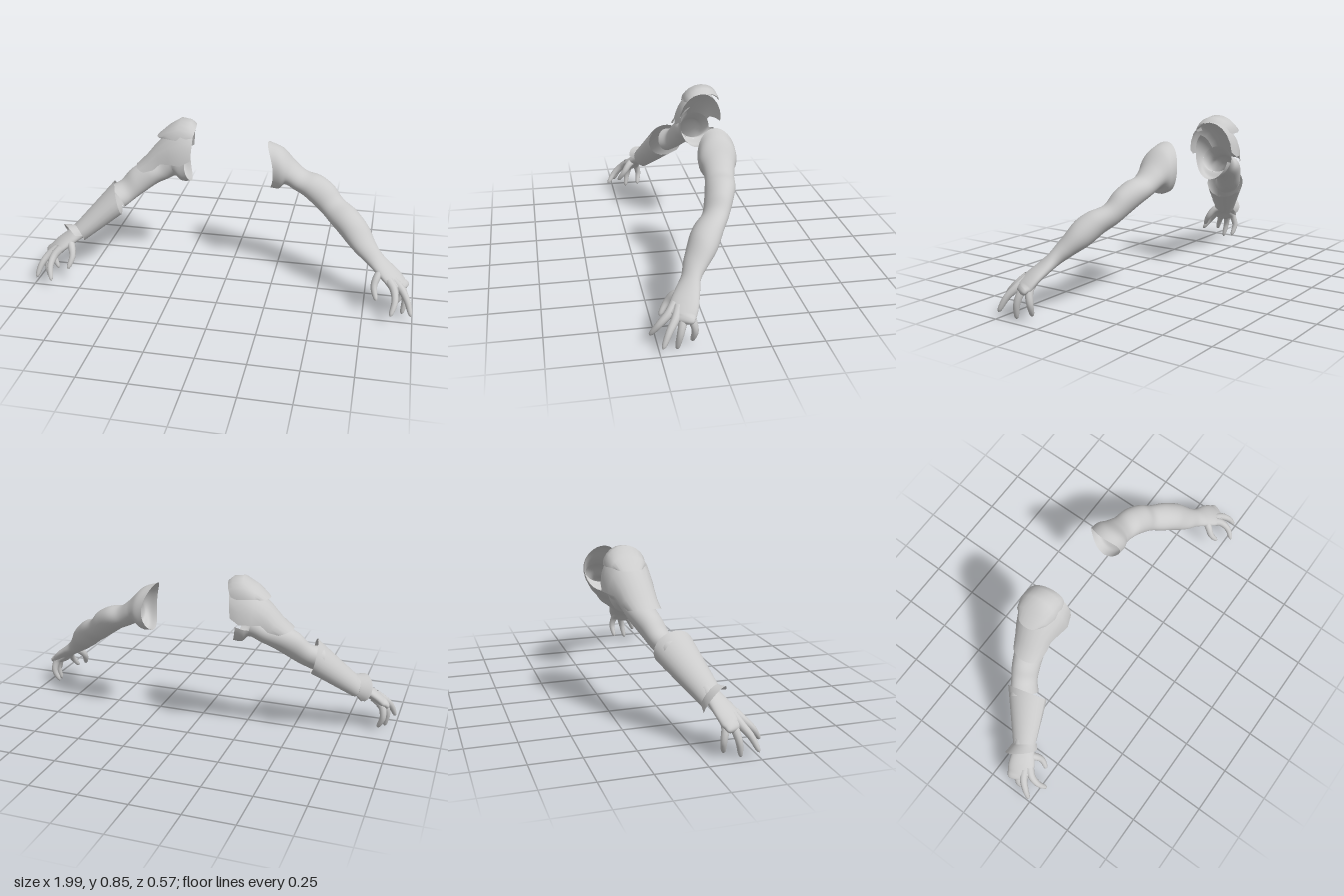
import * as THREE from 'three';

const V = (x, y, z) => new THREE.Vector3(x, y, z);
const material = new THREE.MeshStandardMaterial({ color: 0xcccccc, side: THREE.DoubleSide });

// Arm cross-sections: top x, top y, bottom x, bottom y, centre z, half width
const rings = [
  [0.195, 0.76, 0.215, 0.51, -0.153, 0.095],
  [0.27, 0.73, 0.26, 0.51, -0.15, 0.094],
  [0.34, 0.66, 0.295, 0.54, -0.147, 0.08],
  [0.4, 0.615, 0.345, 0.517, -0.14, 0.071],
  [0.47, 0.6, 0.41, 0.485, -0.128, 0.073],
  [0.54, 0.56, 0.475, 0.44, -0.105, 0.068],
  [0.59, 0.502, 0.535, 0.397, -0.078, 0.064],
  [0.66, 0.47, 0.585, 0.36, -0.035, 0.07],
  [0.72, 0.42, 0.64, 0.315, 0.005, 0.07],
  [0.77, 0.345, 0.7, 0.272, 0.048, 0.058],
  [0.81, 0.295, 0.755, 0.237, 0.076, 0.047],
  [0.85, 0.255, 0.81, 0.205, 0.1, 0.057],
  [0.9, 0.215, 0.865, 0.168, 0.125, 0.067],
  [0.94, 0.177, 0.905, 0.13, 0.142, 0.064],
  [0.956, 0.152, 0.93, 0.122, 0.147, 0.05],
  [0.949, 0.13, 0.948, 0.129, 0.148, 0.002],
];
const last = rings.length - 1;
const curve = f => new THREE.CatmullRomCurve3(rings.map(f), false, 'catmullrom', 0.5);
const topCurve = curve(r => V(r[0], r[1], r[4]));
const bottomCurve = curve(r => V(r[2], r[3], r[4]));
const widthCurve = curve(r => V(r[5], 0, 0));

// Point on the arm at ring position u and angle a (0 top, PI/2 front)
function armPoint(u, a) {
  const t = u / last;
  const top = topCurve.getPoint(t), bottom = bottomCurve.getPoint(t);
  const up = top.clone().sub(bottom).multiplyScalar(0.5);
  const along = topCurve.getTangent(t).add(bottomCurve.getTangent(t));
  if (u > 13) along.set(0.85, 0, 0.5);
  const side = V(-along.z, 0, along.x).normalize();
  // slight twist of the forearm
  side.y = 0.3 * Math.exp(-(((u - 8) / 1.5) ** 2));
  const p = top.add(bottom).multiplyScalar(0.5);
  p.addScaledVector(up, Math.cos(a)).addScaledVector(side, Math.sin(a) * widthCurve.getPoint(t).x);
  // concave edge of the shoulder opening
  p.x += 0.035 * Math.sin(a) ** 2 * Math.max(0, 1 - u / 2);
  return p;
}

// Surface through a grid of points f(s, t), optionally closed in t; mirror = -1 flips it in x
function loft(name, ns, nt, closed, mirror, f) {
  const pos = [], index = [], cols = closed ? nt : nt + 1;
  for (let i = 0; i <= ns; i++) {
    for (let j = 0; j < cols; j++) {
      const p = f(i / ns, j / nt);
      pos.push(p.x * mirror, p.y, p.z);
    }
  }
  for (let i = 0; i < ns; i++) {
    for (let j = 0; j < nt; j++) {
      const k = (j + 1) % cols;
      const a = i * cols + j, b = i * cols + k, c = a + cols, d = b + cols;
      if (mirror > 0) index.push(a, b, c, b, d, c);
      else index.push(a, c, b, b, c, d);
    }
  }
  const g = new THREE.BufferGeometry();
  g.setAttribute('position', new THREE.Float32BufferAttribute(pos, 3));
  g.setIndex(index);
  g.computeVertexNormals();
  const mesh = new THREE.Mesh(g, material);
  mesh.name = name;
  return mesh;
}

// Stretch of arm skin between ring positions u0..u1 and angles a0..a1
function skin(name, mirror, u0, u1, a0 = 0, a1 = Math.PI * 2) {
  const closed = a1 - a0 > 6;
  return loft(name, Math.ceil((u1 - u0) * 6), 36, closed, mirror,
    (s, t) => armPoint(u0 + (u1 - u0) * s, a0 + (a1 - a0) * t));
}

// Finger paths, base to tip, starting inside the palm
const fingers = {
  indexFinger: [V(0.868, 0.19, 0.165), V(0.897, 0.158, 0.197), V(0.907, 0.115, 0.24), V(0.89, 0.052, 0.285)],
  middleFinger: [V(0.89, 0.185, 0.15), V(0.935, 0.15, 0.174), V(0.968, 0.106, 0.207), V(0.992, 0.036, 0.24)],
  ringFinger: [V(0.9, 0.18, 0.13), V(0.937, 0.142, 0.14), V(0.957, 0.085, 0.155), V(0.947, 0.003, 0.17)],
  littleFinger: [V(0.89, 0.185, 0.105), V(0.932, 0.146, 0.1), V(0.945, 0.09, 0.088), V(0.92, 0.022, 0.097)],
  thumb: [V(0.835, 0.225, 0.12), V(0.81, 0.2, 0.16), V(0.798, 0.16, 0.19), V(0.815, 0.1, 0.228)],
};

function makeFinger(name, points, mirror) {
  const path = new THREE.CatmullRomCurve3(points);
  const n = 24, frames = path.computeFrenetFrames(n, false);
  return loft(name, n, 12, true, mirror, (s, t) => {
    const i = Math.round(s * n), a = t * Math.PI * 2;
    const r = 0.023 * (1 - 0.5 * s) * Math.sqrt(1 - s ** 14) + 0.0003;
    return path.getPointAt(s)
      .addScaledVector(frames.normals[i], r * Math.cos(a))
      .addScaledVector(frames.binormals[i], r * Math.sin(a));
  });
}

function makeArm(name, mirror, skins) {
  const arm = new THREE.Group();
  arm.name = name;
  arm.add(...skins);
  for (const [n, points] of Object.entries(fingers)) arm.add(makeFinger(n, points, mirror));
  return arm;
}

// Bracer outlines: centre, centre-to-top vector, centre-to-front vector
const elbowEdge = [V(0.597, 0.422, -0.03), V(0.026, 0.084, -0.03), V(-0.02, 0.025, 0.098)];
const wristEdge = [V(0.79, 0.247, 0.08), V(0.022, 0.045, 0), V(-0.028, 0.02, 0.05)];
const rimEdge = [V(0.83, 0.238, 0.09), V(0.047, 0.049, -0.015), V(-0.035, 0.04, 0.067)];

// Straight-sided shell from one outline to another, over angles a0..a1
function bracerShell(name, from, to, a0, a1, scale0, scale1) {
  return loft(name, 6, 16, false, -1, (s, t) => {
    const [c, up, front] = from.map((v, i) => v.clone().lerp(to[i], s));
    const a = a0 + (a1 - a0) * t, k = scale0 + (scale1 - scale0) * s;
    return c.addScaledVector(up, k * Math.cos(a)).addScaledVector(front, k * Math.sin(a));
  });
}

// Arched plate from sections: apex x, apex y, edge x, edge y, centre z, half width
function archPlate(name, sections) {
  return loft(name, sections.length - 1, 10, false, -1, (s, t) => {
    const [ax, ay, ex, ey, z, w] = sections[Math.round(s * (sections.length - 1))];
    const a = (t - 0.5) * Math.PI, c = Math.cos(a);
    // the inner edge sits further out at the back
    const skew = 0.016 * Math.sin(a) * (1 - s);
    return V(ex + (ax - ex) * c - skew, ey + (ay - ey) * c, z + w * Math.sin(a));
  });
}

export function createModel() {
  const model = new THREE.Group();
  model.name = 'armouredArms';
  model.add(
    makeArm('leftArm', 1, [skin('armAndPalm', 1, 0, last)]),
    // skin hidden by the armour is left out
    makeArm('rightArm', -1, [
      skin('shoulderSkin', -1, 0, 1.8, 0.5, 4.5),
      skin('upperArm', -1, 1.8, 6.8),
      skin('palm', -1, 9.7, last),
    ]),
  );

  // Forearm guard: inner sleeve, raised outer plate, flared wrist rim
  const bracer = new THREE.Group();
  bracer.name = 'bracer';
  bracer.add(
    bracerShell('bracerSleeve', elbowEdge, wristEdge, 0, Math.PI * 2, 0.95, 1),
    bracerShell('bracerPlate', elbowEdge, wristEdge, -2.1, 1.45, 1.02, 1.05),
    bracerShell('wristRim', wristEdge, rimEdge, -1.8, 1.8, 1.06, 1),
  );
  model.add(bracer);

  // Layered shoulder guard
  const pauldron = new THREE.Group();
  pauldron.name = 'shoulderGuard';
  pauldron.add(
    archPlate('shoulderCap', [
      [0.19, 0.818, 0.215, 0.765, -0.175, 0.092],
      [0.215, 0.842, 0.245, 0.757, -0.172, 0.1],
      [0.27, 0.85, 0.3, 0.76, -0.172, 0.1],
      [0.335, 0.81, 0.345, 0.762, -0.17, 0.086],
      [0.402, 0.752, 0.365, 0.752, -0.17, 0.06],
    ]),
    archPlate('shoulderPlate', [
      [0.2, 0.815, 0.215, 0.662, -0.163, 0.117],
      [0.265, 0.824, 0.265, 0.634, -0.157, 0.129],
      [0.34, 0.775, 0.325, 0.634, -0.155, 0.116],
      [0.405, 0.71, 0.37, 0.63, -0.148, 0.1],
      [0.455, 0.648, 0.405, 0.593, -0.138, 0.092],
      [0.512, 0.592, 0.455, 0.575, -0.125, 0.08],
    ]),
  );
  model.add(pauldron);
  return model;
}
